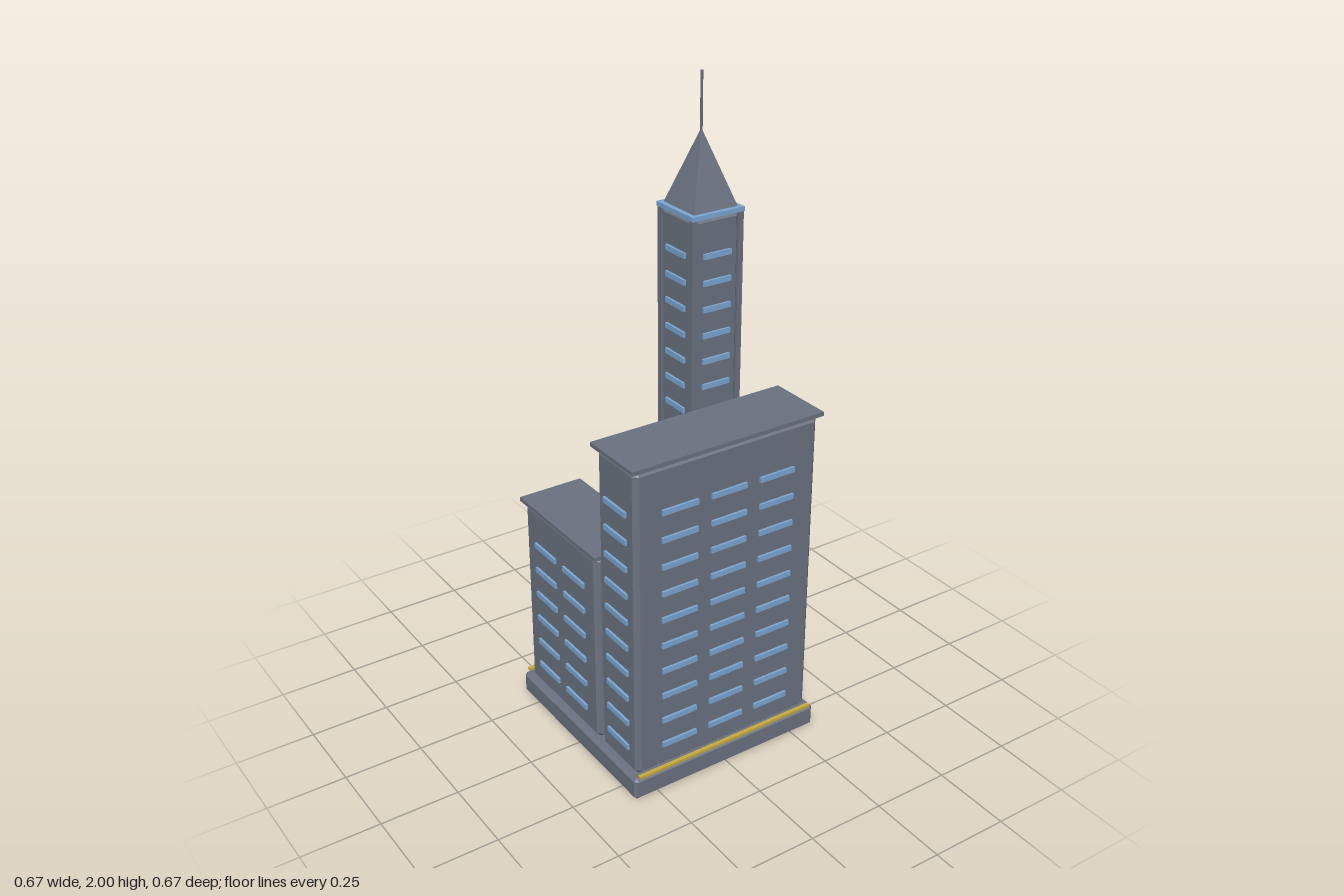
import * as THREE from 'three';
import { ConvexGeometry } from 'three/addons/geometries/ConvexGeometry.js';

export function createModel() {
  const model = new THREE.Group();
  const grey = new THREE.MeshStandardMaterial({ color: 0x6b7280 });
  const blue = new THREE.MeshStandardMaterial({ color: 0x7ba6d2 });
  const gold = new THREE.MeshStandardMaterial({ color: 0xc8aa3e });
  grey.name = 'concrete grey';
  blue.name = 'window blue';
  gold.name = 'trim gold';

  const add = (parent, name, geometry, material, x, y, z) => {
    const mesh = new THREE.Mesh(geometry, material);
    mesh.name = name;
    mesh.position.set(x, y, z);
    parent.add(mesh);
    return mesh;
  };
  const box = (w, h, d) => new THREE.BoxGeometry(w, h, d);

  // Box with every edge cut at 45 degrees
  function chamferBox(w, h, d, c) {
    const points = [];
    for (const sx of [-1, 1]) for (const sy of [-1, 1]) for (const sz of [-1, 1]) {
      const x = w / 2, y = h / 2, z = d / 2;
      points.push(
        new THREE.Vector3(sx * x, sy * (y - c), sz * (z - c)),
        new THREE.Vector3(sx * (x - c), sy * y, sz * (z - c)),
        new THREE.Vector3(sx * (x - c), sy * (y - c), sz * z));
    }
    return new ConvexGeometry(points);
  }

  // Rows of ribbon windows on all four walls
  function windows(parent, w, d, colsX, colsZ, rows, step) {
    for (let side = 0; side < 4; side++) {
      const wall = new THREE.Group();
      wall.name = 'windowWall';
      wall.rotation.y = side * Math.PI / 2;
      parent.add(wall);
      const [width, depth, cols] = side % 2 ? [d, w, colsZ] : [w, d, colsX];
      const pitch = width * 0.8 / cols;
      const pane = box(pitch * 0.72, 0.017, 0.009);
      for (let r = 0; r < rows; r++) for (let c = 0; c < cols; c++)
        add(wall, 'window', pane, blue,
          (c - (cols - 1) / 2) * pitch, 0.158 + r * step, depth / 2 + 0.003);
    }
  }

  function building(name, x, z, w, d, top, colsX, colsZ, rows, step) {
    const group = new THREE.Group();
    group.name = name;
    group.position.set(x, 0, z);
    model.add(group);
    const bottom = 0.075;
    add(group, 'walls', chamferBox(w, top - bottom, d, 0.015), grey, 0, (top + bottom) / 2, 0);
    windows(group, w, d, colsX, colsZ, rows, step);
    return group;
  }

  // Base and gold edging
  add(model, 'base', chamferBox(0.666, 0.075, 0.666, 0.01), grey, 0, 0.0375, 0);
  for (const s of [-1, 1]) {
    add(model, 'goldTrim', box(0.634, 0.009, 0.012), gold, 0, 0.079, s * 0.328);
    add(model, 'goldStud', box(0.01, 0.009, 0.01), gold, s * 0.109, 0.079, -0.306);
  }

  // Wide front block and lower side block with overhanging roofs
  const front = building('frontBlock', -0.003, 0.221, 0.628, 0.195, 1.09, 3, 1, 10, 0.0875);
  add(front, 'roof', box(0.652, 0.013, 0.214), grey, 0, 1.096, -0.002);
  const side = building('sideBlock', -0.22, -0.098, 0.195, 0.41, 0.718, 1, 2, 6, 0.0875);
  add(side, 'roof', box(0.214, 0.013, 0.432), grey, 0, 0.723, -0.001);

  // Slim tower: corner piers, blue cornice, pyramid and mast
  const tower = building('tower', 0.219, -0.147, 0.168, 0.168, 1.6, 1, 1, 17, 0.0828);
  for (const sx of [-1, 1]) for (const sz of [-1, 1])
    add(tower, 'cornerPier', box(0.018, 1.525, 0.018), grey, sx * 0.081, 0.8375, sz * 0.081);
  add(tower, 'cornice', box(0.184, 0.014, 0.184), blue, 0, 1.604, 0);
  const spire = new THREE.ConeGeometry(0.077 * Math.SQRT2, 0.225, 4, 1).toNonIndexed();
  spire.rotateY(Math.PI / 4);
  spire.computeVertexNormals();
  add(tower, 'spire', spire, grey, 0, 1.7235, 0);
  add(tower, 'mast', new THREE.CylinderGeometry(0.004, 0.004, 0.19, 8), grey, 0, 1.905, 0);

  return model;
}
